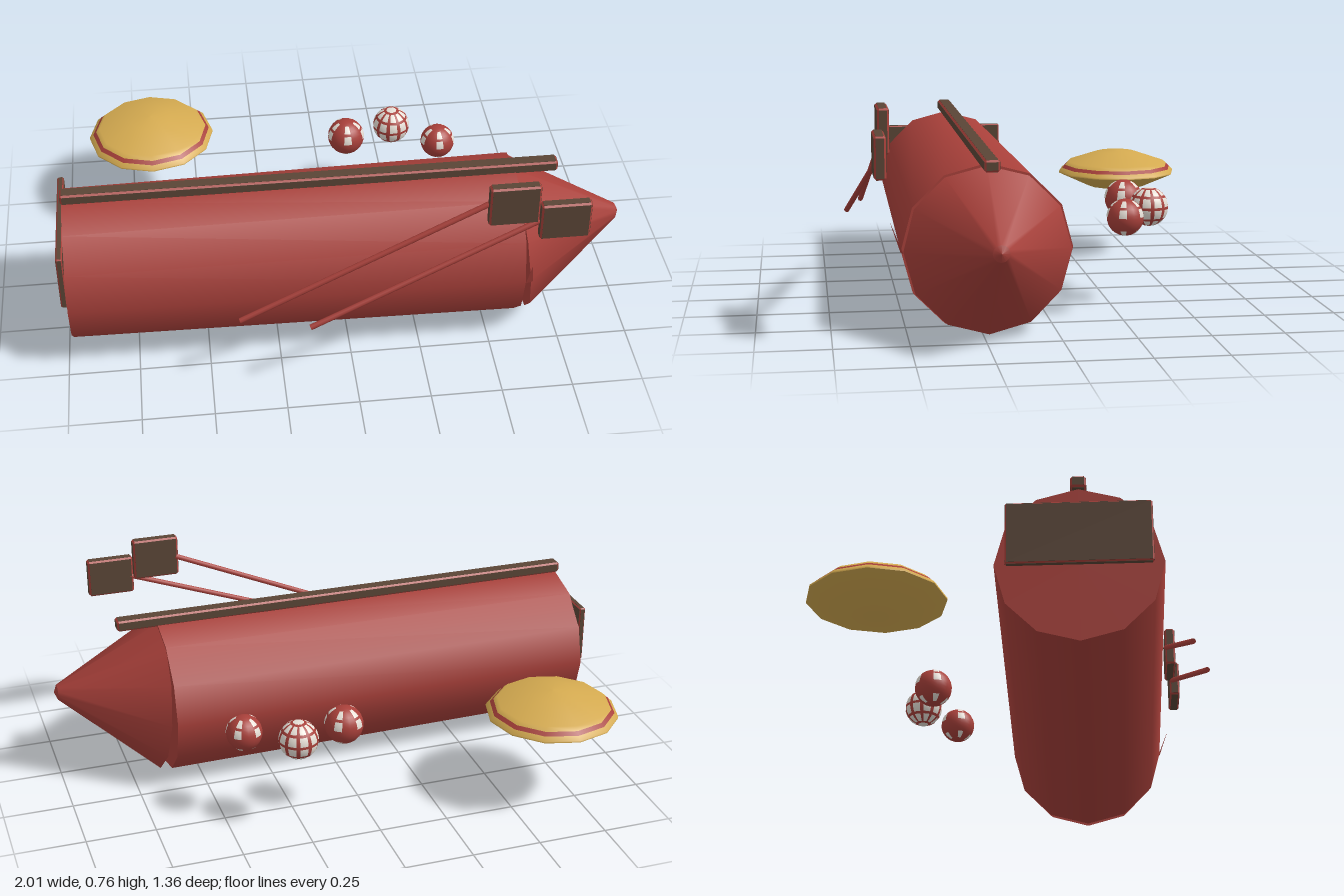
import * as THREE from 'three';
import { ConvexGeometry } from 'three/addons/geometries/ConvexGeometry.js';

export function createModel() {
  const model = new THREE.Group();
  const mat = (name, color, side = THREE.FrontSide) => {
    const m = new THREE.MeshStandardMaterial({ color, side });
    m.name = name;
    return m;
  };
  const red = mat('red', 0xa8403a, THREE.DoubleSide);
  const brown = mat('brown', 0x5a4536);
  const gold = mat('gold', 0xd4aa50, THREE.DoubleSide);
  const white = mat('white', 0xe6dfd6);

  const add = (name, geo, material, parent = model) => {
    const mesh = new THREE.Mesh(geo, material);
    mesh.name = name;
    parent.add(mesh);
    return mesh;
  };

  // Brown board with red chamfered edges, given by its extents
  function board(name, x0, x1, y0, y1, z0, z1, b = 0.006) {
    const group = new THREE.Group();
    group.name = name;
    group.position.set((x0 + x1) / 2, (y0 + y1) / 2, (z0 + z1) / 2);
    const size = [x1 - x0, y1 - y0, z1 - z0];
    const points = [];
    for (let axis = 0; axis < 3; axis++) {
      const inset = size.map((s, i) => (i === axis ? s : s - 2 * b));
      for (const sx of [-0.5, 0.5]) for (const sy of [-0.5, 0.5]) for (const sz of [-0.5, 0.5])
        points.push(new THREE.Vector3(inset[0] * sx, inset[1] * sy, inset[2] * sz));
      inset[axis] += 0.002;
      add('face', new THREE.BoxGeometry(...inset), brown, group);
    }
    add('edges', new ConvexGeometry(points), red, group);
    model.add(group);
  }

  // Main hull, widening slightly toward the nose
  const hull = add('hull', new THREE.CylinderGeometry(0.287, 0.268, 1.59, 12).rotateZ(-Math.PI / 2), red);
  hull.position.set(-0.183, 0.295, 0.232);

  // Nose cone, with tilted base and raised tip
  const L = 0.36;
  const bend = (geo) => {
    const p = geo.attributes.position;
    for (let i = 0; i < p.count; i++) {
      const t = p.getX(i) / L;
      p.setX(i, p.getX(i) - p.getY(i) * 0.09 * Math.max(0, 1 - t));
      p.setY(i, p.getY(i) + 0.06 * t);
    }
    return geo;
  };
  const nose = new THREE.Group();
  nose.name = 'nose';
  nose.position.set(0.632, 0.295, 0.232);
  add('noseCone', bend(new THREE.CylinderGeometry(0.028, 0.28, L, 12).rotateZ(-Math.PI / 2).translate(L / 2, 0, 0)), red, nose);
  add('noseTip', bend(new THREE.ConeGeometry(0.028, 0.012, 12).rotateZ(-Math.PI / 2).translate(L + 0.006, 0, 0)), red, nose);
  model.add(nose);

  // Small loose sliver beside the nose joint
  const sliver = new THREE.BufferGeometry();
  sliver.setAttribute('position', new THREE.Float32BufferAttribute(
    [0.612, 0.29, 0.52, 0.638, 0.29, 0.512, 0.622, 0.4, 0.556], 3));
  sliver.computeVertexNormals();
  add('sliver', sliver, red);

  // Top rail, tail plate and the two raised panels
  board('topRail', -0.98, 0.76, 0.573, 0.612, 0.207, 0.257);
  board('tailPlate', -1, -0.978, 0.29, 0.505, 0, 0.465, 0.004);
  board('panelRear', 0.45, 0.62, 0.617, 0.768, 0.552, 0.59);
  board('panelFront', 0.622, 0.792, 0.56, 0.7, 0.572, 0.61);

  // Slanted rods leading up to the panels
  const rod = (name, a, b) => {
    const from = new THREE.Vector3(...a), dir = new THREE.Vector3(...b).sub(from);
    const mesh = add(name, new THREE.CylinderGeometry(0.01, 0.01, dir.length(), 8), red);
    mesh.position.copy(from).addScaledVector(dir, 0.5);
    mesh.quaternion.setFromUnitVectors(new THREE.Vector3(0, 1, 0), dir.normalize());
  };
  rod('rodRear', [-0.395, 0.3, 0.61], [0.46, 0.69, 0.556]);
  rod('rodFront', [-0.16, 0.3, 0.67], [0.635, 0.625, 0.58]);

  // Gold disc with a red stripe above the rim
  const disc = new THREE.Group();
  disc.name = 'disc';
  disc.position.set(-0.663, 0, -0.445);
  const ring = (name, material, pts) =>
    add(name, new THREE.LatheGeometry(pts.map(([r, y]) => new THREE.Vector2(r, y)), 12), material, disc);
  ring('discLower', gold, [[0, 0.285], [0.115, 0.287], [0.236, 0.342]]);
  ring('discRim', gold, [[0.236, 0.342], [0.236, 0.348], [0.222, 0.361]]);
  ring('discStripe', red, [[0.222, 0.361], [0.21, 0.373]]);
  ring('discUpper', gold, [[0.21, 0.373], [0.196, 0.386], [0.08, 0.425], [0, 0.43]]);
  model.add(disc);

  // Red balls with white patches; step 2 leaves every other gore red
  const gores = 10, bands = 4;
  function ball(name, x, y, z, r, step) {
    const group = new THREE.Group();
    group.name = name;
    group.position.set(x, y, z);
    add('ballCore', new THREE.SphereGeometry(r, 20, 16), red, group);
    const gore = (Math.PI * 2) / gores, band = (Math.PI - 0.7) / bands;
    for (let i = 0; i < gores; i += step) for (let j = 0; j < bands; j++) {
      if (step > 1 && j === 2) continue;
      add('patch', new THREE.SphereGeometry(r + 0.001, 2, 3,
        i * gore + 0.1, gore - 0.2, 0.35 + j * band + 0.07, band - 0.14), white, group);
    }
    if (step === 1) for (const start of [0, Math.PI - 0.28])
      add('polePatch', new THREE.SphereGeometry(r + 0.001, 10, 2, 0, Math.PI * 2, start, 0.28), white, group);
    model.add(group);
  }
  ball('ballRear', 0.08, 0.36, -0.33, 0.069, 2);
  ball('ballMiddle', 0.263, 0.36, -0.385, 0.069, 1);
  ball('ballFront', 0.425, 0.354, -0.268, 0.064, 2);

  return model;
}
